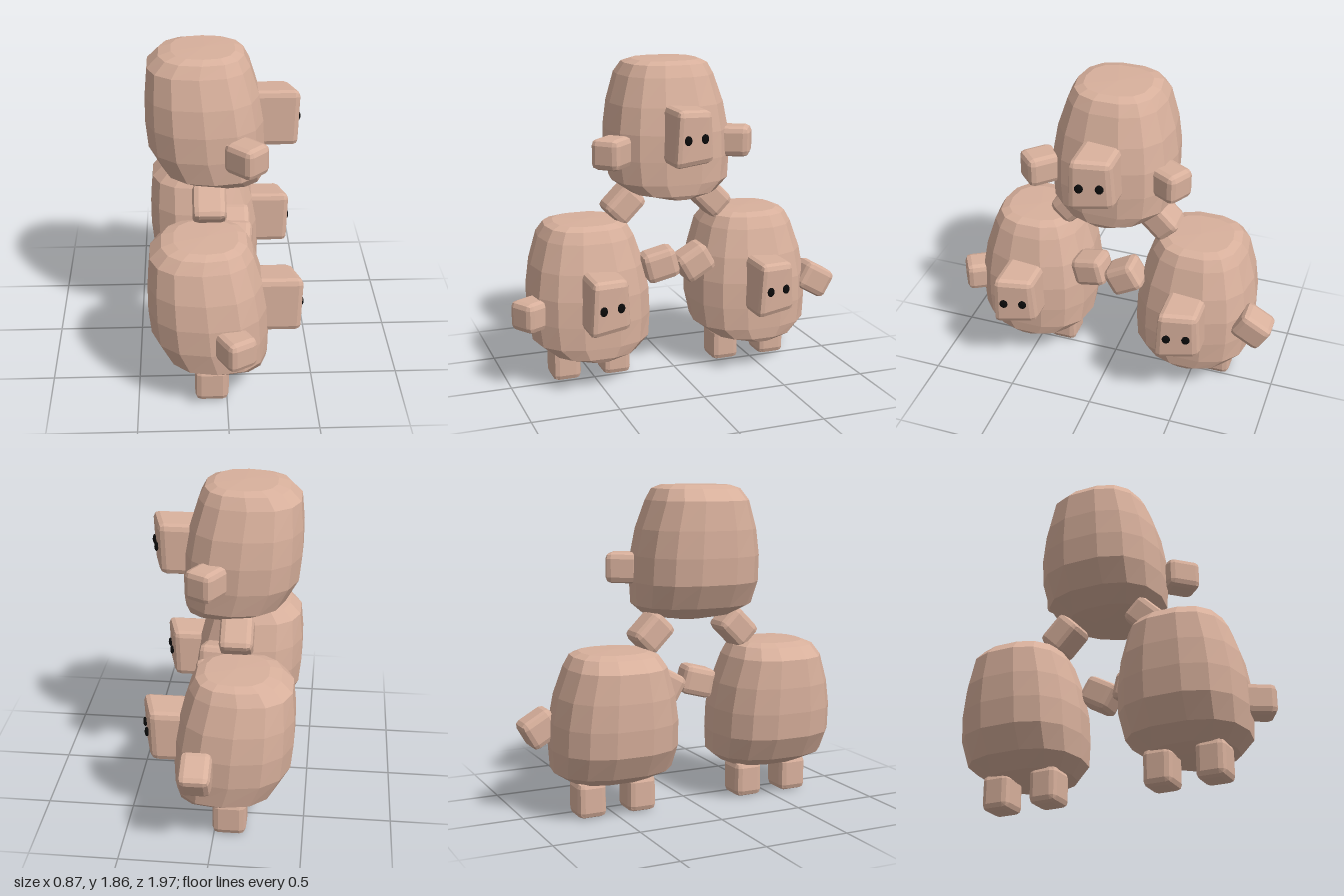
import * as THREE from 'three';
import { RoundedBoxGeometry } from 'three/addons/geometries/RoundedBoxGeometry.js';

const skin = new THREE.MeshStandardMaterial({ color: 0xd8b09c, flatShading: true });
const black = new THREE.MeshStandardMaterial({ color: 0x0a0a0a });

// Faceted body lofted through rounded rings: [y, back x, front x, half width z]
function bodyGeometry() {
  const rings = [
    [0.168, 0.08, 0.08, 0], [0.175, -0.1, 0.215, 0.1], [0.2, -0.22, 0.23, 0.25],
    [0.265, -0.35, 0.237, 0.342], [0.4, -0.425, 0.24, 0.358], [0.55, -0.44, 0.232, 0.355],
    [0.7, -0.44, 0.205, 0.33], [0.86, -0.425, 0.155, 0.278], [0.925, -0.36, 0.12, 0.24],
    [0.945, -0.29, 0.07, 0.19], [0.95, -0.1, -0.1, 0],
  ];
  const sides = 14, power = 0.8, positions = [], index = [];
  const soften = (v) => Math.sign(v) * Math.abs(v) ** power;
  for (const [y, back, front, half] of rings) {
    for (let i = 0; i < sides; i++) {
      const a = ((i + 0.5) / sides) * Math.PI * 2;
      positions.push((back + front) / 2 + soften(Math.cos(a)) * (front - back) / 2, y, soften(Math.sin(a)) * half);
    }
  }
  const last = rings.length - 2;
  for (let j = 0; j <= last; j++) {
    for (let i = 0; i < sides; i++) {
      const a = j * sides + i, b = j * sides + (i + 1) % sides;
      if (j > 0) index.push(a, a + sides, b);
      if (j < last) index.push(b, a + sides, b + sides);
      else index.pop(), index.push(b);
    }
  }
  const g = new THREE.BufferGeometry();
  g.setAttribute('position', new THREE.Float32BufferAttribute(positions, 3));
  g.setIndex(index);
  const flat = g.toNonIndexed();
  flat.computeVertexNormals();
  return flat;
}

// Blocky head with a slanted face and a slightly narrower top
function headGeometry() {
  const g = new RoundedBoxGeometry(0.3, 0.31, 0.255, 1, 0.035);
  const p = g.attributes.position;
  for (let i = 0; i < p.count; i++) {
    const x = p.getX(i), y = p.getY(i), z = p.getZ(i);
    if (x > 0) p.setX(i, x + 0.25 * z + (y < 0 ? 0.08 * y : 0));
    p.setZ(i, z * (1 - 0.45 * (y + 0.155)));
    p.setY(i, y + 0.06 * z * Math.sign(y));
  }
  g.computeVertexNormals();
  return g;
}

const bodyShape = bodyGeometry();
const headShape = headGeometry();

// Chamfered stub whose length points along dir
function limb(name, pos, dir, width, height, length) {
  const mesh = new THREE.Mesh(new RoundedBoxGeometry(width, height, length, 1, 0.035), skin);
  mesh.name = name;
  mesh.position.set(...pos);
  mesh.lookAt(pos[0] + dir[0], pos[1] + dir[1], pos[2] + dir[2]);
  return mesh;
}

// One creature facing +x; arms and legs are [position, direction] pairs
function creature(name, y, z, arms, legs) {
  const group = new THREE.Group();
  group.name = name;
  group.position.set(0, y, z);
  const body = new THREE.Mesh(bodyShape, skin);
  body.name = 'body';
  const head = new THREE.Mesh(headShape, skin);
  head.name = 'head';
  head.position.set(0.255, 0.555, -0.005);
  group.add(body, head);
  for (const side of [-1, 1]) {
    const eye = new THREE.Mesh(new THREE.SphereGeometry(0.024, 12, 8), black);
    eye.name = 'eye';
    eye.scale.set(0.5, 1.15, 1);
    eye.position.set(0.408 + side * 0.013, 0.553, -0.005 + side * 0.054);
    eye.rotation.y = 0.25;
    group.add(eye);
  }
  arms.forEach(([p, d]) => group.add(limb('arm', p, d, 0.175, 0.175, 0.2)));
  legs.forEach(([p, d]) => group.add(limb('leg', p, d, 0.19, 0.17, 0.21)));
  return group;
}

export function createModel() {
  const model = new THREE.Group();
  model.name = 'creaturePyramid';
  const standing = [-1, 1].map((s) => [[-0.085, 0.11, s * 0.152], [0, -1, 0]]);
  const splayed = [-1, 1].map((s) => [[-0.085, 0.115, s * 0.27], [0, -0.7, s * 0.7]]);
  model.add(
    creature('lowerLeftCreature', 0, 0.51,
      [[[0.04, 0.455, 0.36], [0.5, 0, 0.87]], [[0.08, 0.69, -0.39], [0.1, 0.25, -0.95]]], standing),
    creature('lowerRightCreature', 0, -0.49,
      [[[0.08, 0.685, 0.4], [0, -0.5, 0.87]], [[0.08, 0.5, -0.38], [0, -0.5, -0.87]]], standing),
    creature('topCreature', 0.915, 0.02,
      [[[0.117, 0.455, 0.39], [0.7, 0, 0.7]], [[0.075, 0.475, -0.36], [0.5, 0, -0.87]]], splayed),
  );
  return model;
}
